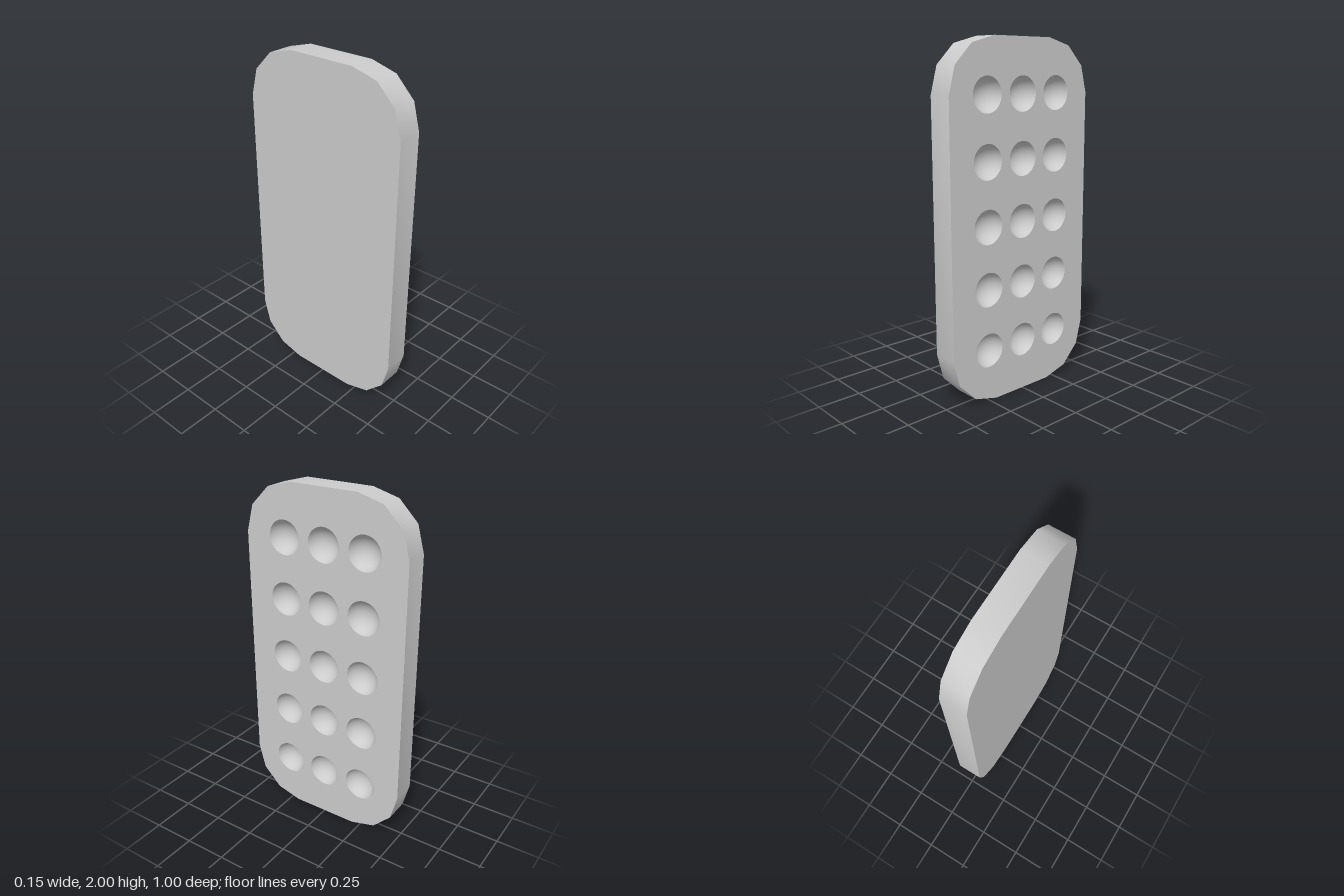
import * as THREE from 'three';
import { toCreasedNormals } from 'three/addons/utils/BufferGeometryUtils.js';

const HALF = 0.075;          // half the plate thickness
const CORNER = 0.3;          // corner radius, three facets per corner
const BALL = 0.1;            // radius of the dimple sphere
const BALL_X = 0.1;          // dimple sphere centre, just outside the face
const SEGMENTS = 48;
const RIM = Math.sqrt(BALL ** 2 - (BALL_X - HALF) ** 2);

// Points of an arc, counter-clockwise
function arc(cx, cy, r, start, sweep, steps) {
  return Array.from({ length: steps + 1 }, (_, i) => {
    const a = start + (sweep * i) / steps;
    return new THREE.Vector2(cx + r * Math.cos(a), cy + r * Math.sin(a));
  });
}

// Plate outline with chamfered-round corners
function outlinePoints() {
  const points = [];
  [[1, 1], [-1, 1], [-1, -1], [1, -1]].forEach(([sx, sy], i) => {
    points.push(...arc(sx * (0.5 - CORNER), 1 + sy * (1 - CORNER), CORNER, (i * Math.PI) / 2, Math.PI / 2, 3));
  });
  return points;
}

// Edge band around the plate
function edgeGeometry(points) {
  const pos = [];
  points.forEach((p, i) => {
    const q = points[(i + 1) % points.length];
    const a = [p.x, p.y, -HALF], b = [q.x, q.y, -HALF];
    const c = [q.x, q.y, HALF], d = [p.x, p.y, HALF];
    pos.push(...a, ...b, ...c, ...a, ...c, ...d);
  });
  const geo = new THREE.BufferGeometry();
  geo.setAttribute('position', new THREE.Float32BufferAttribute(pos, 3));
  return toCreasedNormals(geo, 0.6);
}

export function createModel() {
  const group = new THREE.Group();
  group.name = 'dimpledPlate';
  const material = new THREE.MeshStandardMaterial({ color: 0xcccccc });
  const add = (name, geo) => {
    const mesh = new THREE.Mesh(geo, material);
    mesh.name = name;
    group.add(mesh);
    return mesh;
  };

  const points = outlinePoints();
  const face = new THREE.Shape(points);

  // Plain back face and edge band, turned so the thickness runs along x
  add('backFace', new THREE.ShapeGeometry(face.clone())
    .rotateY(Math.PI).translate(0, 0, -HALF).rotateY(Math.PI / 2));
  add('edge', edgeGeometry(points).rotateY(Math.PI / 2));

  // Spherical cup, profile running from rim to pole so it faces inward
  const rimAngle = Math.asin(RIM / BALL);
  const profile = Array.from({ length: 17 }, (_, i) => {
    const a = rimAngle * (1 - i / 16);
    return new THREE.Vector2(BALL * Math.sin(a), -BALL * Math.cos(a));
  });
  const cup = new THREE.LatheGeometry(profile, SEGMENTS).rotateZ(-Math.PI / 2);

  // Five rows of three dimples, each with its opening in the face
  for (let row = 0; row < 5; row++) {
    for (let col = -1; col <= 1; col++) {
      const y = 0.3 + row * 0.35, z = col * 0.25;
      const ring = arc(-z, y, RIM, 0, Math.PI * 2, SEGMENTS).slice(0, -1);
      face.holes.push(new THREE.Path(ring.reverse()));
      add('dimple', cup).position.set(BALL_X, y, z);
    }
  }
  add('dimpledFace', new THREE.ShapeGeometry(face).translate(0, 0, HALF).rotateY(Math.PI / 2));

  return group;
}
